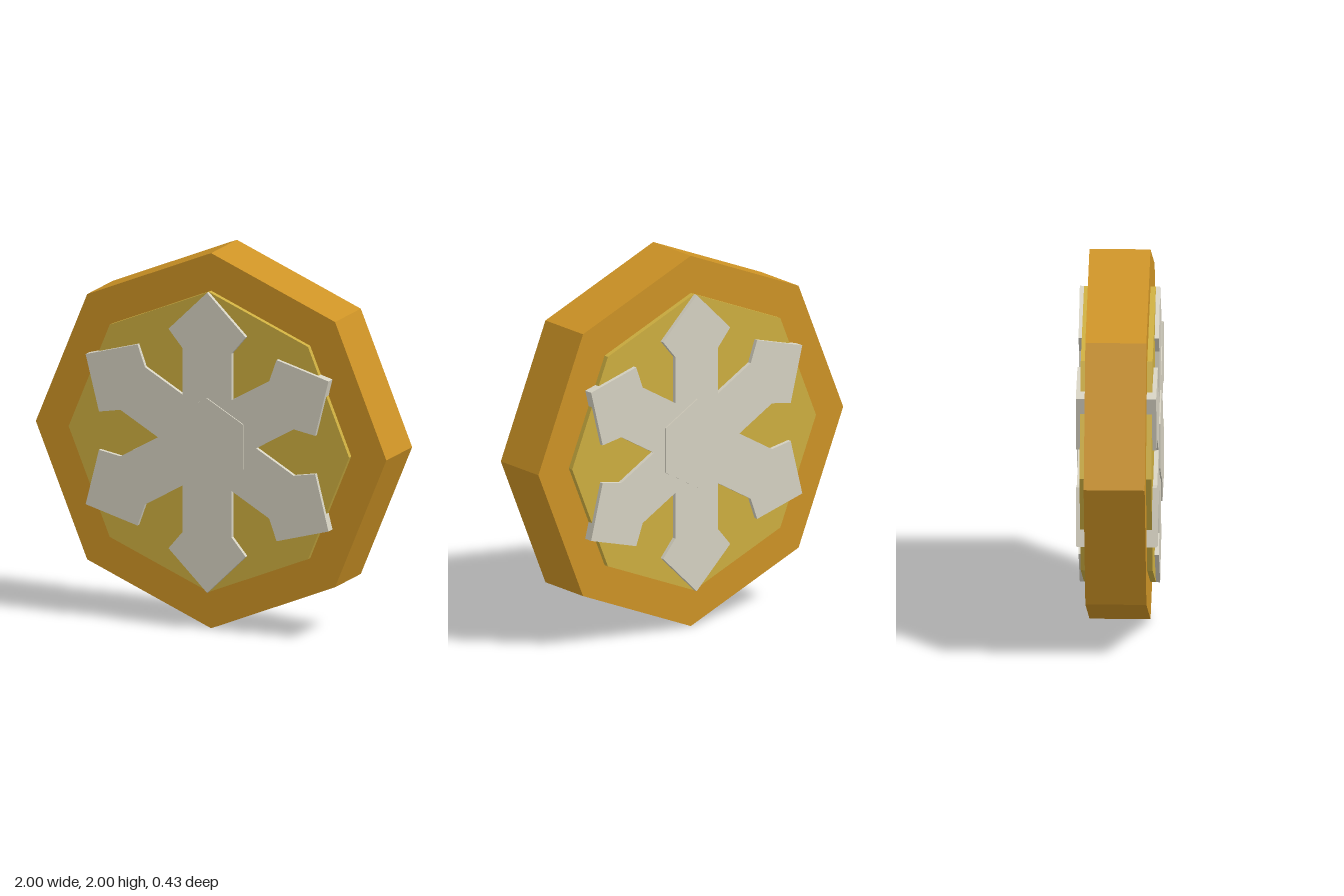
import * as THREE from 'three';

const mat = (name, color) => {
  const m = new THREE.MeshStandardMaterial({ color });
  m.name = name;
  return m;
};

// Closed outline extruded symmetrically about z = 0
function slab(name, points, halfDepth, material) {
  const geo = new THREE.ExtrudeGeometry(new THREE.Shape(points), {
    depth: halfDepth * 2, bevelEnabled: false,
  });
  geo.translate(0, 0, -halfDepth);
  const mesh = new THREE.Mesh(geo, material);
  mesh.name = name;
  return mesh;
}

// Regular polygon with one corner pointing up
function polygon(sides, radius) {
  return Array.from({ length: sides }, (_, i) => {
    const a = Math.PI / 2 + (i / sides) * Math.PI * 2;
    return new THREE.Vector2(radius * Math.cos(a), radius * Math.sin(a));
  });
}

// Six arrow-headed arms; one arm's outline is repeated every 60 degrees
function snowflake() {
  const arm = [
    [0.14, 0.2425], [0.14, 0.49], [0.22, 0.585], [0, 0.8],
    [-0.22, 0.585], [-0.14, 0.49],
  ];
  const points = [];
  for (let i = 0; i < 6; i++) {
    for (const [x, y] of arm) {
      points.push(new THREE.Vector2(x, y).rotateAround(new THREE.Vector2(), i * Math.PI / 3));
    }
  }
  return points;
}

export function createModel() {
  const gold = mat('gold', 0xcd9325);
  const paleGold = mat('pale gold', 0xcdae40);
  const silver = mat('silver', 0xd6d2c2);

  const medallion = new THREE.Group();
  medallion.name = 'medallion';
  medallion.add(
    slab('rim', polygon(8, 1), 0.158, gold),
    slab('innerPlate', polygon(8, 0.8), 0.186, paleGold),
    slab('snowflake', snowflake(), 0.208, silver),
    slab('centreHexagon', polygon(6, 0.24), 0.215, silver),
  );
  medallion.position.y = 1;

  const model = new THREE.Group();
  model.name = 'snowflakeMedallion';
  model.add(medallion);
  return model;
}
